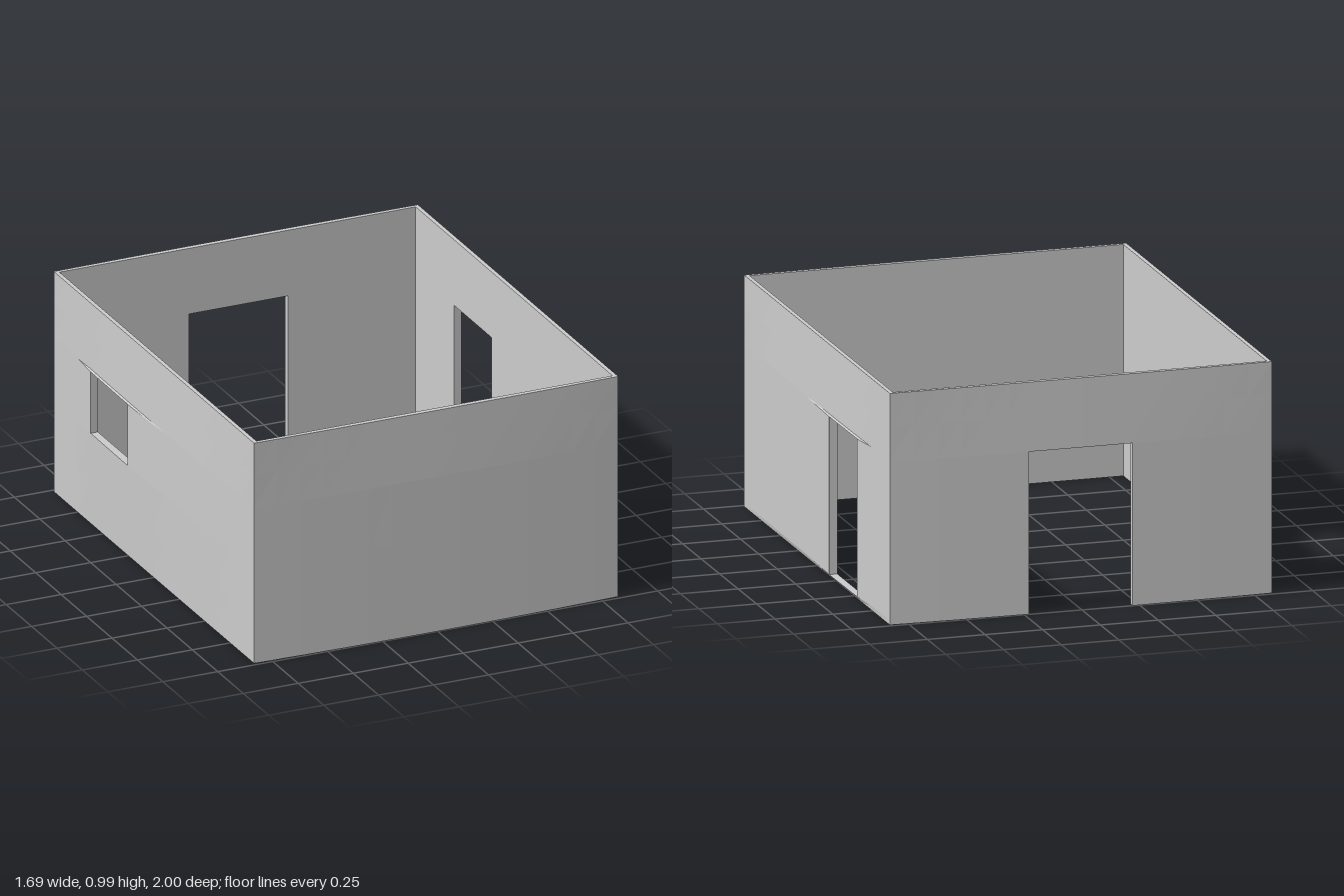
import * as THREE from 'three';

const HEIGHT = 0.99;
const material = new THREE.MeshStandardMaterial({ color: 0xcccccc, flatShading: true });

// Linear interpolation through [position, value] pairs
function ramp(points, t) {
  if (t <= points[0][0]) return points[0][1];
  for (let i = 1; i < points.length; i++) {
    const [a, va] = points[i - 1], [b, vb] = points[i];
    if (t <= b) return va + (vb - va) * (t - a) / (b - a);
  }
  return points[points.length - 1][1];
}

// One wall: u runs rightwards seen from outside, v upwards, d outwards.
// Grid cells inside the opening are left out and their edges become jambs.
function buildWall(name, { outerU, innerU, innerD, outerD, place, hole }) {
  const us = [], vs = [0, 0.02, 0.2, 0.42, 0.695, 0.7, 0.85, HEIGHT];
  for (let i = 0; i <= 16; i++) us.push(outerU * (i / 8 - 1));
  if (hole) us.push(hole.u0, hole.u1);
  us.sort((a, b) => a - b);

  const solid = (i, j) => {
    if (i < 0 || j < 0 || i >= us.length - 1 || j >= vs.length - 1) return false;
    const u = (us[i] + us[i + 1]) / 2, v = (vs[j] + vs[j + 1]) / 2;
    return !(hole && u > hole.u0 && u < hole.u1 && v > hole.v0 && v < hole.v1);
  };
  const outer = (i, j) => place(us[i], vs[j], outerD(us[i], vs[j]));
  const inner = (i, j) => place(THREE.MathUtils.clamp(us[i], -innerU, innerU), vs[j], innerD);

  const positions = [];
  const quad = (a, b, c, d) => positions.push(...a, ...b, ...c, ...a, ...c, ...d);
  for (let i = 0; i < us.length - 1; i++) {
    for (let j = 0; j < vs.length - 1; j++) {
      if (!solid(i, j)) continue;
      const I = i + 1, J = j + 1;
      quad(outer(i, j), outer(I, j), outer(I, J), outer(i, J));
      quad(inner(I, j), inner(i, j), inner(i, J), inner(I, J));
      if (!solid(i, J)) quad(outer(i, J), outer(I, J), inner(I, J), inner(i, J));
      if (!solid(i, j - 1)) quad(inner(i, j), inner(I, j), outer(I, j), outer(i, j));
      // The wall ends are mitred, so only opening jambs need side faces
      if (I < us.length - 1 && !solid(I, j)) quad(outer(I, j), inner(I, j), inner(I, J), outer(I, J));
      if (i > 0 && !solid(i - 1, j)) quad(inner(i, j), outer(i, j), outer(i, J), inner(i, J));
    }
  }
  const geometry = new THREE.BufferGeometry();
  geometry.setAttribute('position', new THREE.Float32BufferAttribute(positions, 3));
  geometry.computeVertexNormals();
  const mesh = new THREE.Mesh(geometry, material);
  mesh.name = name;
  return mesh;
}

export function createModel() {
  const group = new THREE.Group();
  group.name = 'room';
  const X = 0.828, Z = 0.985, IX = 0.81, IZ = 0.968;

  // Front and back walls bow gently outwards across their width
  const endD = (u, v) => Z + 0.015 * (1 - (u / X) ** 2) * ramp([[0.69, 1], [HEIGHT, 0.4]], v);
  const end = { outerU: X, innerU: IX, innerD: IZ, outerD: endD };

  // Side walls bow too, with a slight extra swelling around the opening
  const sideD = (z, v, foot) => {
    const bow = 0.009 * (1 - (z / Z) ** 2) * ramp([[0, 0.1], [foot, 1], [0.7, 1], [HEIGHT, 0]], v);
    const swell = 0.009 * ramp([[-0.7, 0], [-0.59, 1], [-0.22, 1], [0.1, 0]], z)
      * ramp([[0, 0], [foot, 1], [0.695, 1], [0.7, 0]], v);
    return X + bow + swell;
  };
  const side = { outerU: Z, innerU: IZ, innerD: IX };

  group.add(
    buildWall('frontWall', { ...end, place: (u, v, d) => [u, v, d] }),
    buildWall('backWall', {
      ...end, place: (u, v, d) => [-u, v, -d],
      hole: { u0: -0.23, u1: 0.22, v0: 0, v1: 0.695 }, // wide doorway
    }),
    buildWall('leftWall', {
      ...side, place: (u, v, d) => [d, v, -u], outerD: (u, v) => sideD(-u, v, 0.02),
      hole: { u0: 0.22, u1: 0.59, v0: 0.02, v1: 0.695 }, // door with low sill
    }),
    buildWall('rightWall', {
      ...side, place: (u, v, d) => [-d, v, u], outerD: (u, v) => sideD(u, v, 0.42),
      hole: { u0: -0.59, u1: -0.22, v0: 0.42, v1: 0.695 }, // window
    }),
  );
  return group;
}
